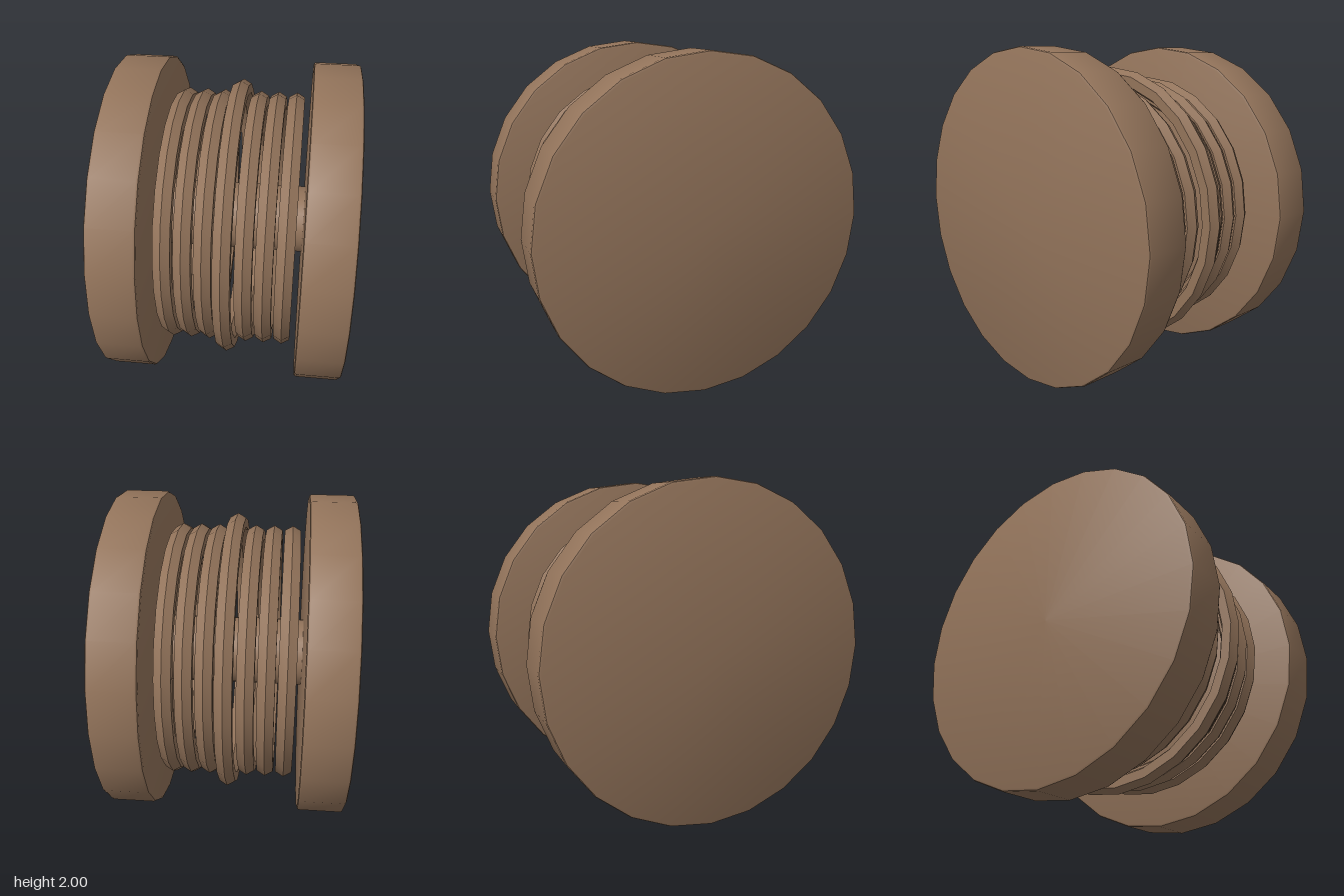
import * as THREE from 'three';
import { toCreasedNormals } from 'three/addons/utils/BufferGeometryUtils.js';

const SIDES = 24;

export function createModel() {
  const group = new THREE.Group();
  const wood = new THREE.MeshStandardMaterial({ color: 0x92735a });
  wood.name = 'brown wood';

  const add = (name, geometry, x) => {
    const mesh = new THREE.Mesh(toCreasedNormals(geometry, 0.5), wood);
    mesh.name = name;
    mesh.position.set(x, 1, 0);
    group.add(mesh);
  };

  // End discs with slightly rounded rims
  const R = 1, h = 0.14, b = 0.016;
  const profile = [
    [0, -h], [R - b, -h], [R - b * 0.3, -h + b * 0.3], [R, -h + b],
    [R, h - b], [R - b * 0.3, h - b * 0.3], [R - b, h], [0, h],
  ].map(([r, y]) => new THREE.Vector2(r, y));
  for (const side of [-1, 1]) {
    const disc = new THREE.LatheGeometry(profile, SIDES).rotateZ(Math.PI / 2);
    add(side > 0 ? 'leftDisc' : 'rightDisc', disc, side * 0.573);
  }

  // Axle joining the discs
  add('axle', new THREE.CylinderGeometry(0.212, 0.212, 0.9, SIDES).rotateZ(Math.PI / 2), 0);

  // Seven hexagonal-section rings, the middle one larger
  for (let i = -3; i <= 3; i++) {
    const radius = i === 0 ? 0.82 : 0.749;
    const ring = new THREE.TorusGeometry(radius, 0.057, 6, SIDES).rotateY(Math.PI / 2);
    add(i === 0 ? 'middleRing' : `ring${i + 4}`, ring, i * 0.1145);
  }
  return group;
}
